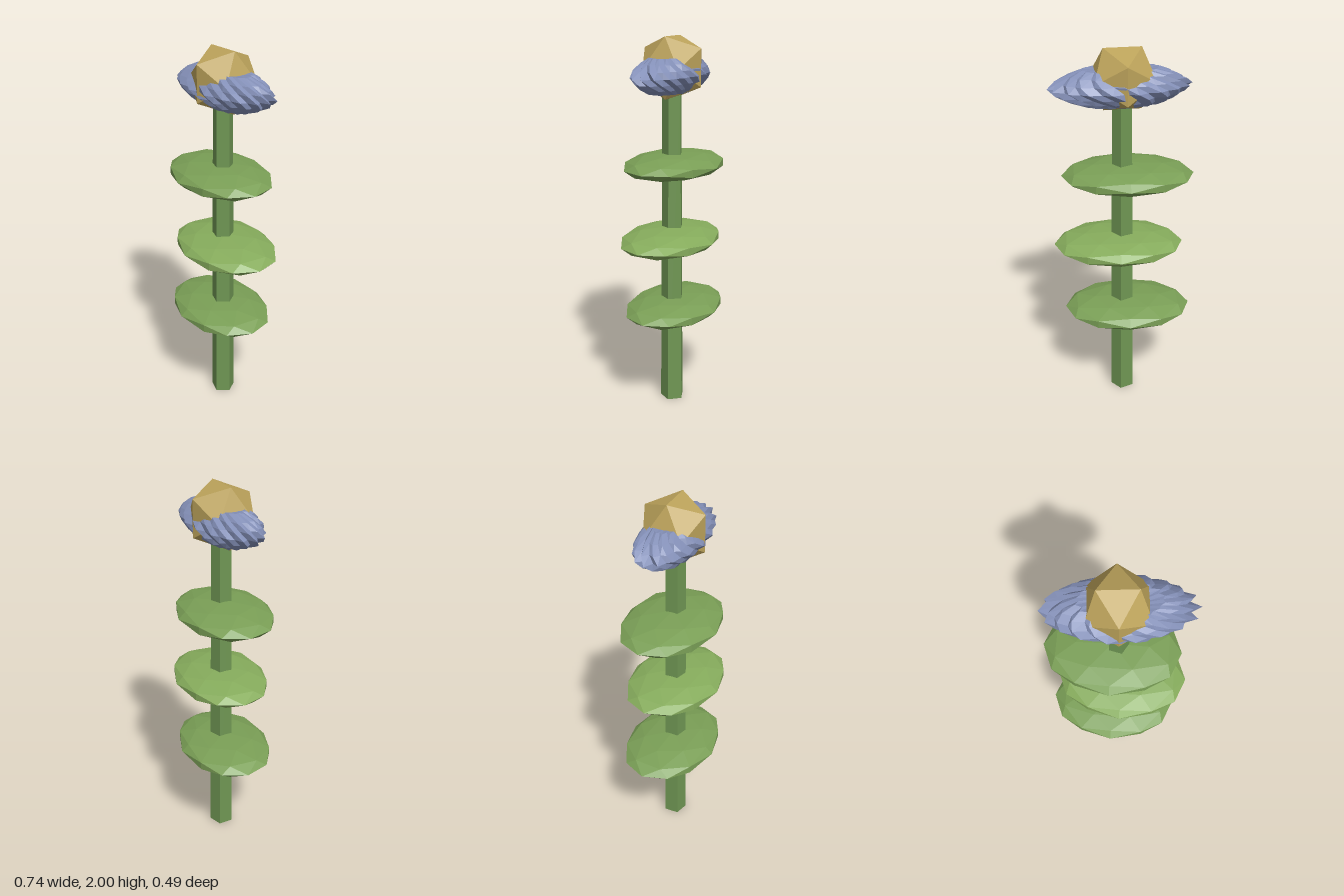
import * as THREE from 'three';

const mat = (color) => new THREE.MeshStandardMaterial({ color, flatShading: true });

function add(group, name, geometry, material, x, y) {
  const mesh = new THREE.Mesh(geometry, material);
  mesh.name = name;
  mesh.position.set(x, y, 0);
  group.add(mesh);
  return mesh;
}

// Flattened ruff of petals: a lathe whose rows zigzag in and out into small spikes
function ruffGeometry() {
  const rows = [
    [0, -0.075], [0.35, -0.082], [0.54, -0.088], [0.74, -0.062], [0.89, -0.032],
    [0.97, 0], [0.89, 0.032], [0.74, 0.062], [0.54, 0.088], [0.35, 0.082], [0, 0.075],
  ];
  const segments = 36;
  const geo = new THREE.LatheGeometry(rows.map(([r, y]) => new THREE.Vector2(r, y)), segments, Math.PI / 2);
  const pos = geo.attributes.position;
  for (let i = 0; i <= segments; i++) {
    const s = i % segments;
    for (let j = 0; j < rows.length; j++) {
      const k = i * rows.length + j;
      const zigzag = (s + j) % 2 ? 0.045 : -0.045;
      const wobble = 0.025 * Math.sin(s * 2.4 + j * 1.7);
      const f = 1 + zigzag + wobble;
      pos.setXYZ(k, pos.getX(k) * f * 0.35, pos.getY(k), pos.getZ(k) * f * 0.163);
    }
  }
  return geo;
}

export function createModel() {
  const group = new THREE.Group();

  // Five-sided tapering stem with one corner facing +x
  const stem = new THREE.CylinderGeometry(0.053, 0.066, 1.76, 5, 1, false, Math.PI / 2);
  add(group, 'stem', stem, mat(0x6f9653), 0, 0.88);

  // Three flat leaf discs, staggered from side to side
  const leaf = new THREE.IcosahedronGeometry(1, 1);
  leaf.scale(0.344, 0.066, 0.247);
  leaf.rotateY(-0.1);
  [[-0.027, 0.545, 0x7a9f56], [0.022, 0.945, 0x86ac5c], [-0.027, 1.34, 0x7a9f56]].forEach(([x, y, color], i) => {
    add(group, `leaf${i + 1}`, leaf, mat(color), x, y);
  });

  // Flower head: spiky petals around a faceted centre
  add(group, 'petals', ruffGeometry(), mat(0x8490b8), 0.01, 1.81);
  add(group, 'flowerCentre', new THREE.IcosahedronGeometry(0.182, 0), mat(0xbba25a), 0, 1.845);

  return group;
}
